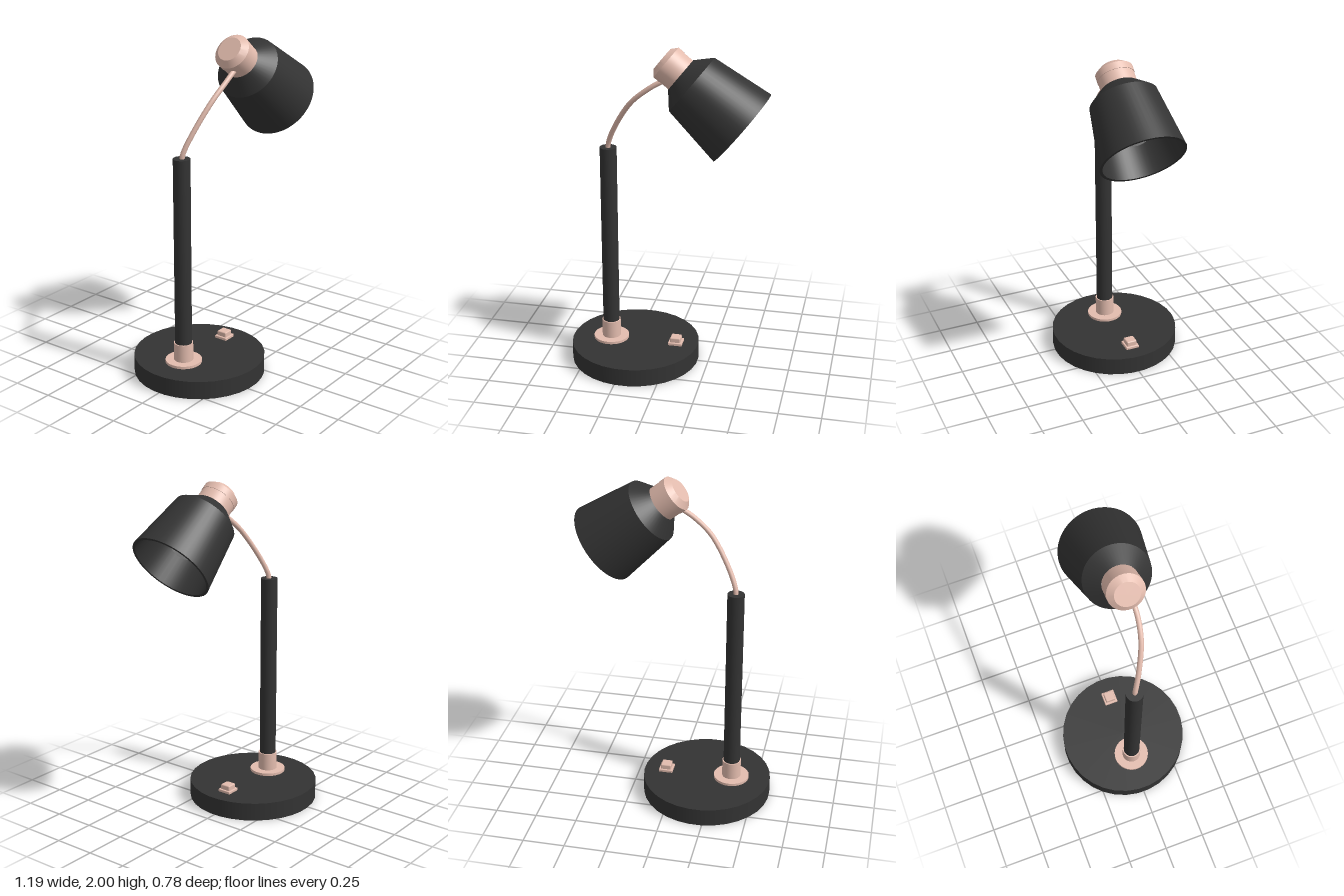
import * as THREE from 'three';
import { toCreasedNormals } from 'three/addons/utils/BufferGeometryUtils.js';
import { RoundedBoxGeometry } from 'three/addons/geometries/RoundedBoxGeometry.js';

const dark = new THREE.MeshStandardMaterial({ color: 0x333333 });
const darkOpen = new THREE.MeshStandardMaterial({ color: 0x333333, side: THREE.DoubleSide });
const copper = new THREE.MeshStandardMaterial({ color: 0xe3bcae });
const grey = new THREE.MeshStandardMaterial({ color: 0xcccccc });

const POLE_X = -0.362;

export function createModel() {
  const lamp = new THREE.Group();
  lamp.name = 'deskLamp';

  const add = (parent, name, geometry, material, x = 0, y = 0, z = 0) => {
    const mesh = new THREE.Mesh(geometry, material);
    mesh.name = name;
    mesh.position.set(x, y, z);
    parent.add(mesh);
    return mesh;
  };
  // upright cylinder between two heights
  const post = (name, material, r, y0, y1, x) =>
    add(lamp, name, new THREE.CylinderGeometry(r, r, y1 - y0, 32), material, x, (y0 + y1) / 2);
  // turned part with sharp profile corners
  const turned = (points) => toCreasedNormals(
    new THREE.LatheGeometry(points.map(([r, s]) => new THREE.Vector2(r, s)), 48), 0.35);

  // base and stand
  post('base', dark, 0.392, 0, 0.11, -0.208).rotation.y = Math.PI / 32;
  post('flange', copper, 0.108, 0.11, 0.126, POLE_X);
  post('collar', copper, 0.057, 0.126, 0.234, POLE_X);
  post('pole', dark, 0.05, 0.234, 1.365, POLE_X);

  // switch on the base
  add(lamp, 'switchPlate', new RoundedBoxGeometry(0.086, 0.022, 0.084, 1, 0.004), copper, 0.047, 0.115, 0);
  add(lamp, 'switchButton', new RoundedBoxGeometry(0.064, 0.04, 0.064, 1, 0.007), copper, 0.047, 0.136, 0);

  // curved arm from the pole to the head
  const armPath = new THREE.CatmullRomCurve3([
    [POLE_X, 1.34, 0], [-0.358, 1.39, 0.006], [-0.31, 1.505, 0.04], [-0.2, 1.675, 0.093],
    [-0.1, 1.763, 0.112], [-0.03, 1.808, 0.112], [0.02, 1.83, 0.105],
  ].map((p) => new THREE.Vector3(...p)));
  add(lamp, 'arm', new THREE.TubeGeometry(armPath, 48, 0.015, 12), copper);

  // head: local +y runs along the shade axis, from the neck out to the rim
  const head = new THREE.Group();
  head.name = 'head';
  head.position.set(0.087, 1.853, 0.084);
  head.quaternion.setFromUnitVectors(
    new THREE.Vector3(0, 1, 0), new THREE.Vector3(0.783, -0.622, 0.028).normalize());
  lamp.add(head);

  add(head, 'cap', turned([
    [0, -0.136], [0.073, -0.136], [0.108, -0.106], [0.108, -0.065],
    [0.105, -0.065], [0.105, 0.008], [0, 0.008],
  ]), copper);
  add(head, 'shade', turned([
    [0.108, 0], [0.195, 0.081], [0.246, 0.452],
    [0.23, 0.452], [0.181, 0.088], [0.104, 0.014],
  ]), darkOpen);
  add(head, 'socket', new THREE.CylinderGeometry(0.06, 0.06, 0.13, 24), copper, 0, 0.07);
  add(head, 'bulb', new THREE.SphereGeometry(0.123, 32, 24), grey, 0, 0.23);

  return lamp;
}
